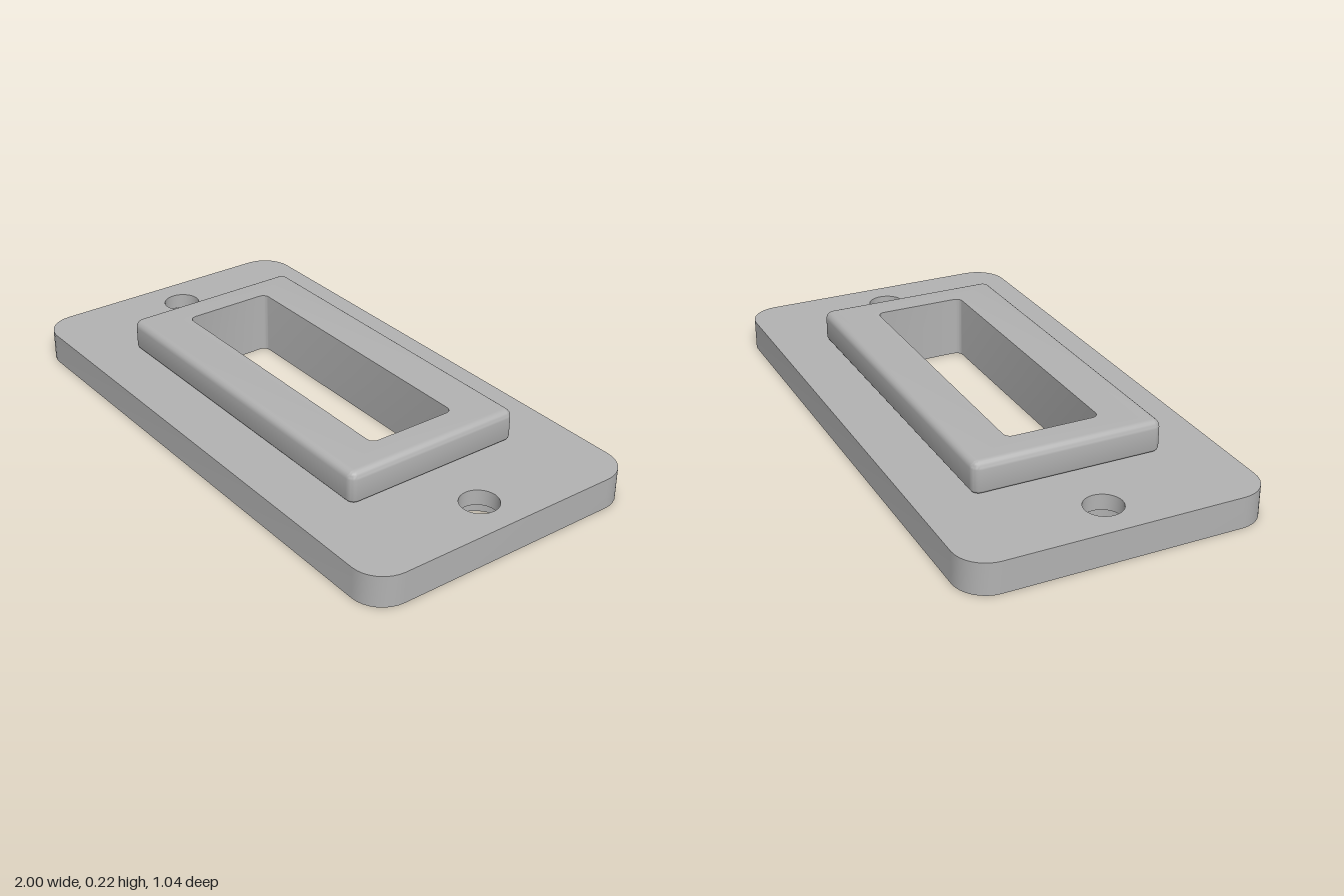
import * as THREE from 'three';
import { toCreasedNormals } from 'three/addons/utils/BufferGeometryUtils.js';

const BASE_TOP = 0.11, COLLAR_TOP = 0.222, SEAT = 0.055, HOLE_X = 0.855;

// Rounded rectangle outline, counter-clockwise; a circle when r equals both half sizes
function outline(hw, hd, r, n = 8) {
  const pts = [];
  const last = r === hw && r === hd ? n - 1 : n;
  [[1, 1], [-1, 1], [-1, -1], [1, -1]].forEach(([sx, sy], q) => {
    for (let i = 0; i <= last; i++) {
      const a = (q + i / n) * Math.PI / 2;
      pts.push(new THREE.Vector2(sx * (hw - r) + r * Math.cos(a), sy * (hd - r) + r * Math.sin(a)));
    }
  });
  return pts;
}

// Skin through stacked outlines: rising sections face outward, falling ones inward
function loft(sections) {
  const pos = [], index = [];
  const rings = sections.map(([hw, hd, r, y]) => outline(hw, hd, r).map(p => [p.x, y, -p.y]));
  const n = rings[0].length;
  rings.forEach(ring => ring.forEach(p => pos.push(...p)));
  for (let s = 0; s < rings.length - 1; s++) {
    for (let i = 0; i < n; i++) {
      const a = s * n + i, b = s * n + (i + 1) % n;
      index.push(a, b, b + n, a, b + n, a + n);
    }
  }
  const geo = new THREE.BufferGeometry();
  geo.setAttribute('position', new THREE.Float32BufferAttribute(pos, 3));
  geo.setIndex(index);
  return toCreasedNormals(geo, 0.6);
}

export function createModel() {
  const model = new THREE.Group();
  model.name = 'mountingPlate';
  const grey = new THREE.MeshStandardMaterial({ color: 0xb2b2b2 });
  grey.name = 'grey';

  const add = (name, geo, x = 0, y = 0) => {
    const mesh = new THREE.Mesh(geo, grey);
    mesh.name = name;
    mesh.position.set(x, y, 0);
    model.add(mesh);
  };

  // Flat face of the base with the window and two screw holes cut out
  const face = (holeRadius, dir) => {
    const shape = new THREE.Shape(outline(1, 0.52, 0.11));
    shape.holes.push(new THREE.Path(outline(0.53, 0.165, 0.025)));
    for (const sx of [-1, 1]) {
      const circle = outline(holeRadius, holeRadius, holeRadius);
      circle.forEach(p => { p.x += sx * HOLE_X; });
      shape.holes.push(new THREE.Path(circle));
    }
    return new THREE.ShapeGeometry(shape).rotateX(-dir * Math.PI / 2);
  };

  // Base plate
  add('baseTop', face(0.065, 1), 0, BASE_TOP);
  add('baseBottom', face(0.112, -1));
  add('baseEdge', loft([[1, 0.52, 0.11, 0], [1, 0.52, 0.11, BASE_TOP]]));

  // Screw holes, counterbored from below
  for (const sx of [-1, 1]) {
    add(sx > 0 ? 'leftScrewHole' : 'rightScrewHole', loft([
      [0.065, BASE_TOP], [0.065, SEAT], [0.112, SEAT], [0.112, 0],
    ].map(([r, y]) => [r, r, r, y])), sx * HOLE_X);
  }

  // Raised collar with rounded edges, continuing down through the window
  const collar = [];
  const edge = (radius, from, centreY) => {
    for (let i = 0; i <= 6; i++) {
      const a = from + i / 6 * Math.PI / 2;
      const inset = radius * (1 - Math.cos(a));
      collar.push([0.645 - inset, 0.332 - inset, 0.03 - inset, centreY + radius * Math.sin(a)]);
    }
  };
  edge(0.018, -Math.PI / 2, BASE_TOP + 0.018);
  edge(0.026, 0, COLLAR_TOP - 0.026);
  collar.push([0.53, 0.165, 0.025, COLLAR_TOP], [0.53, 0.165, 0.025, 0]);
  add('collar', loft(collar));

  return model;
}
